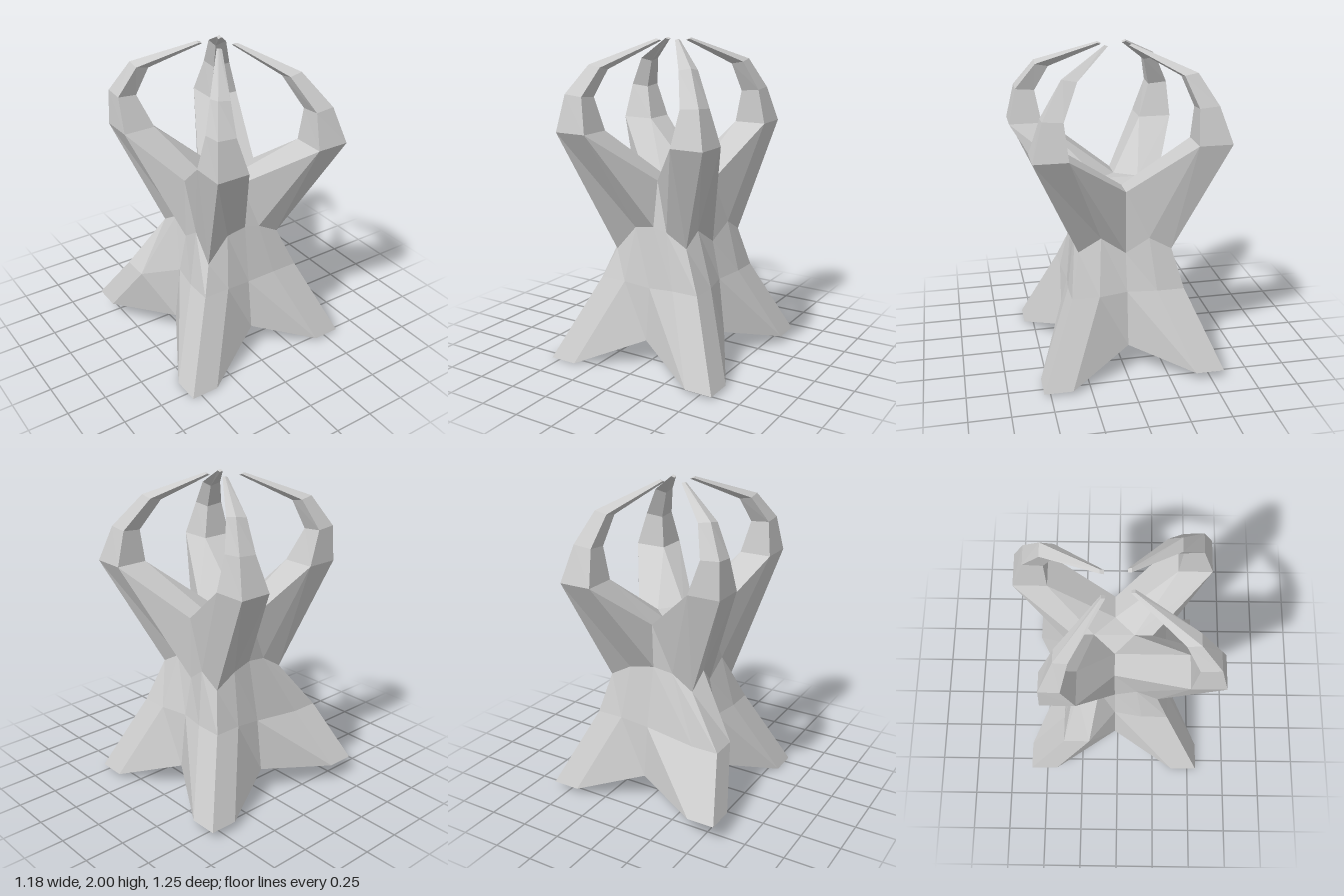
import * as THREE from 'three';

const material = new THREE.MeshStandardMaterial({ color: 0xcccccc, flatShading: true });

// Quarters in order round the body. foot, knee, waist, arm: outer corner x, z and height;
// bend: how far the claw leans in at its two joints; tip: x, z of the claw's end
const quarters = [
  { name: 'FrontLeft', sx: 1, sz: 1, foot: [0.59, 0.54, 0.02], knee: [0.37, 0.33, 0.52], waist: [0.26, 0.27, 0.78], arm: [0.53, 0.56, 1.44], bend: [0.88, 0.63], tip: [0.08, 0.07] },
  { name: 'FrontRight', sx: -1, sz: 1, foot: [0.56, 0.56, 0], knee: [0.32, 0.33, 0.52], waist: [0.25, 0.26, 0.7], arm: [0.42, 0.62, 1.475], bend: [0.92, 0.72], tip: [0.062, 0.09] },
  { name: 'BackRight', sx: -1, sz: -1, foot: [0.59, 0.6, 0.12], knee: [0.48, 0.36, 0.46], waist: [0.25, 0.26, 0.77], arm: [0.52, 0.44, 1.455], bend: [0.98, 0.78], tip: [0.095, 0.09] },
  { name: 'BackLeft', sx: 1, sz: -1, foot: [0.59, 0.58, 0.05], knee: [0.37, 0.37, 0.53], waist: [0.31, 0.3, 0.78], arm: [0.42, 0.63, 1.455], bend: [0.88, 0.7], tip: [0.07, 0.1] },
];

// Square section of a limb: inner corner first, then clockwise from above.
// tilt raises the outer corner and lowers the inner one
function section({ sx, sz }, [x, z, y], width, tilt = 0) {
  const xi = x - width, zi = z - width;
  const ring = [[xi, y - tilt, zi], [x, y, zi], [x, y + tilt, z], [xi, y, z]]
    .map(([px, py, pz]) => [px * sx, py, pz * sz]);
  return sx === sz ? ring : [ring[0], ring[3], ring[2], ring[1]];
}

const armSection = q => section(q, q.arm, 0.205);

// Waist corners: the outer one dips below its neighbours
function waistSection(q) {
  const [x, z, y] = q.waist;
  return section(q, [x, z, 0.86], 0.14, y - 0.86);
}

// Sections of a claw from its arm to its tip
function clawRings(q) {
  const [x, z, y] = q.arm, [b1, b2] = q.bend;
  return [
    armSection(q),
    section(q, [x * b1, z * b1, y + 0.21], 0.12, 0.01),
    section(q, [x * b2, z * b2, 1.845], 0.08, 0.015),
    section(q, [...q.tip, 1.993], 0.022, 0.007),
  ];
}

// Valleys at left, front, right and back
const valleys = (rx, front, back, ySide, yEnd) =>
  [[0.02 + rx, ySide, -0.02], [0.02, yEnd, front], [0.02 - rx, ySide, -0.02], [0.02, yEnd, -back]];

// Full ring round the body: valley, three corners, valley, three corners ...
const bodyRing = (valley, make) => quarters.flatMap((q, i) => [valley[i], ...make(q).slice(1)]);

const quad = (a, b, c, d) => [a, b, c, a, c, d];

// Skin between successive closed rings
function loft(rings) {
  return rings.slice(1).flatMap((b, r) => {
    const a = rings[r];
    return a.flatMap((p, i) => {
      const j = (i + 1) % a.length;
      return quad(p, b[i], b[j], a[j]);
    });
  });
}

function mesh(name, triangles) {
  const geometry = new THREE.BufferGeometry();
  geometry.setAttribute('position', new THREE.Float32BufferAttribute(triangles.flat(), 3));
  geometry.computeVertexNormals();
  const m = new THREE.Mesh(geometry, material);
  m.name = name;
  return m;
}

export function createModel() {
  const group = new THREE.Group();
  const arches = valleys(0.35, 0.35, 0.39, 0.17, 0.17);
  const saddles = valleys(0.26, 0.21, 0.28, 1.155, 1.16);
  const floor = valleys(0.12, 0.1, 0.15, 1.155, 1.165);
  const foot = bodyRing(arches, q => section(q, q.foot, 0.175));
  const knee = bodyRing(valleys(0.31, 0.31, 0.35, 0.52, 0.5), q => section(q, q.knee, 0.17));
  const waist = bodyRing(valleys(0.26, 0.26, 0.27, 0.76, 0.88), waistSection);
  const shoulder = bodyRing(saddles, armSection);

  // Four splayed legs up to the waist, and the arms spreading above it
  group.add(mesh('legs', loft([foot, knee, waist])));
  group.add(mesh('arms', loft([waist, shoulder])));

  // Flat underside between the arches, with a sloping sole under each foot
  const soles = quarters.flatMap((q, i) => {
    const [, a, b, c] = section(q, q.foot, 0.175);
    const from = arches[i], to = arches[(i + 1) % 4];
    return [from, a, b, ...quad(from, b, c, to)];
  });
  group.add(mesh('underside', [...quad(...arches), ...soles]));

  // Hollow between the arms: a small floor and the arms' inner faces
  const hollow = quarters.flatMap((q, i) => {
    const [inner, first, , last] = armSection(q);
    const j = (i + 1) % 4;
    return [
      ...quad(saddles[i], floor[i], inner, first),
      floor[i], floor[j], inner,
      ...quad(floor[j], saddles[j], last, inner),
    ];
  });
  group.add(mesh('hollow', [...quad(...floor.slice().reverse()), ...hollow]));

  // Curved claws closing in at the top
  for (const q of quarters) {
    const rings = clawRings(q);
    group.add(mesh('claw' + q.name, [...loft(rings), ...quad(...rings[3].slice().reverse())]));
  }
  return group;
}
